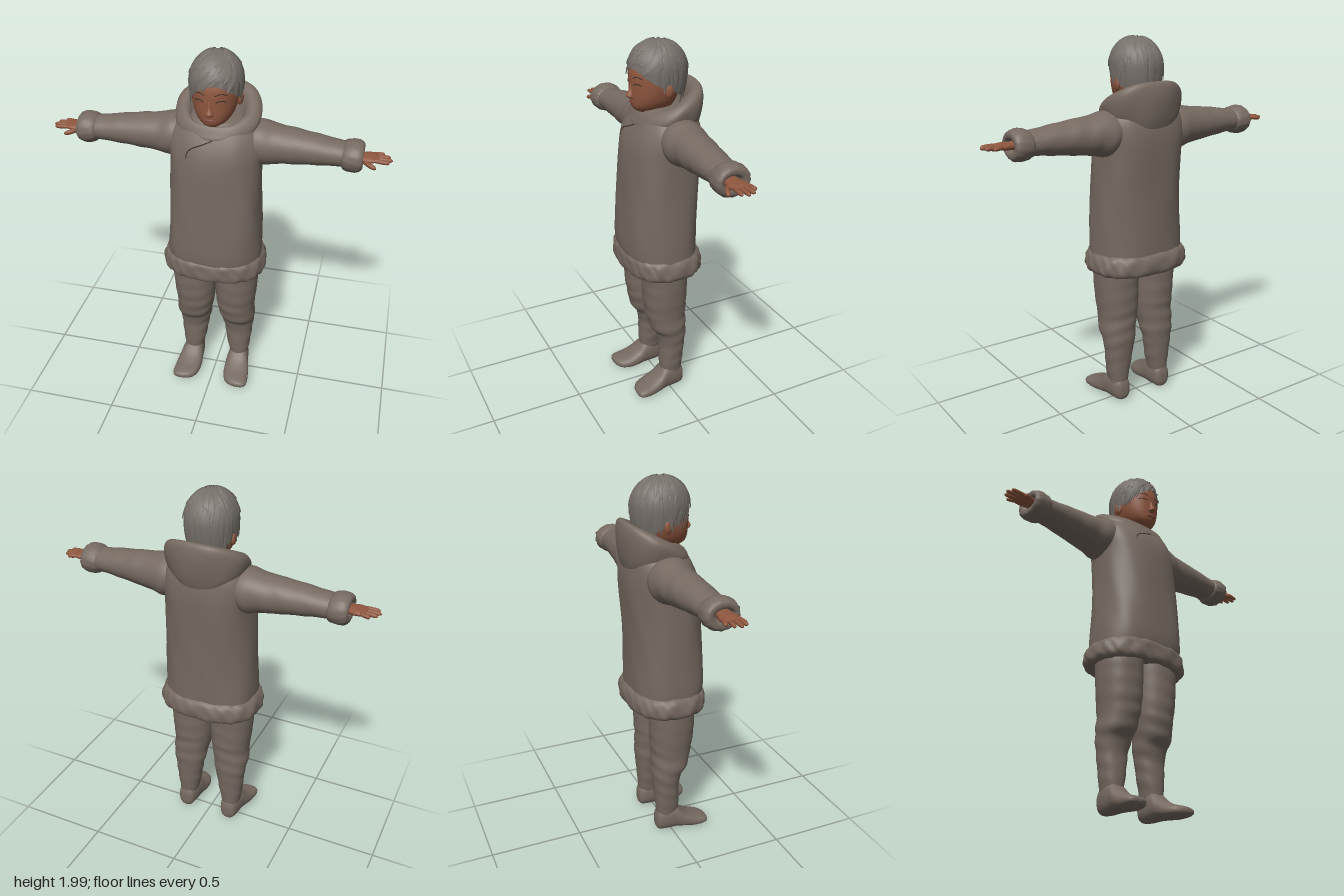
import * as THREE from 'three';
import { mergeGeometries } from 'three/addons/utils/BufferGeometryUtils.js';

const material = (name, color) => {
  const m = new THREE.MeshStandardMaterial({ color });
  m.name = name;
  return m;
};

// Catmull-Rom blend of two neighbouring section rows
const blend = (rows, i, f) => {
  const at = k => rows[Math.min(Math.max(k, 0), rows.length - 1)];
  return rows[i].map((_, c) => {
    const [p, q, r, s] = [at(i - 1)[c], at(i)[c], at(i + 1)[c], at(i + 2)[c]];
    return q + 0.5 * f * (r - p + f * (2 * p - 5 * q + 4 * r - s + f * (3 * (q - r) + s - p)));
  });
};

// Smooth closed skin through sections [t, a0, a1, b0, b1, slope].
// Axis y: a = x, b = z.  Axis x: a = z, b = y.  Axis z: a = y, b = x.
function loft(axis, rows, { sides = 40, steps = 5, power = 2, bump = () => 0 } = {}) {
  const pos = [], index = [];
  const put = (t, a, b) => pos.push(...(axis === 'y' ? [a, t, b] : axis === 'x' ? [t, b, a] : [b, a, t]));
  const bend = c => Math.sign(c) * Math.abs(c) ** (2 / power);
  const rings = (rows.length - 1) * steps + 1;
  for (let i = 0; i < rings; i++) {
    const k = Math.min(Math.floor(i / steps), rows.length - 2);
    const [t, a0, a1, b0, b1, slope = 0] = blend(rows, k, i / steps - k);
    for (let j = 0; j < sides; j++) {
      const w = j / sides * Math.PI * 2, s = 1 + bump(w, t);
      const db = (b1 - b0) / 2 * bend(Math.sin(w)) * s;
      put(t + slope * db, (a0 + a1) / 2 + (a1 - a0) / 2 * bend(Math.cos(w)) * s, (b0 + b1) / 2 + db);
    }
  }
  for (let i = 0; i < rings - 1; i++) for (let j = 0; j < sides; j++) {
    const n = (j + 1) % sides, p = i * sides, q = p + sides;
    index.push(p + j, q + j, q + n, p + j, q + n, p + n);
  }
  // End caps
  for (const [row, base, flip] of [[rows[0], 0, false], [rows[rows.length - 1], (rings - 1) * sides, true]]) {
    const c = pos.length / 3;
    put(row[0], (row[1] + row[2]) / 2, (row[3] + row[4]) / 2);
    for (let j = 0; j < sides; j++) {
      const n = (j + 1) % sides;
      index.push(c, base + (flip ? n : j), base + (flip ? j : n));
    }
  }
  return grid(pos, index);
}

function grid(pos, index) {
  const g = new THREE.BufferGeometry();
  g.setAttribute('position', new THREE.Float32BufferAttribute(pos, 3));
  g.setIndex(index);
  g.computeVertexNormals();
  return g;
}

function mirror(geometry) {
  const g = geometry.clone().scale(-1, 1, 1), ix = g.index.array;
  for (let i = 0; i < ix.length; i += 3) [ix[i], ix[i + 1]] = [ix[i + 1], ix[i]];
  g.computeVertexNormals();
  return g;
}

// Point on the hair volume: u = turn from the front towards +x, v = crown to hairline
function hairPoint(u, v, lift = 0) {
  const s = Math.cos(u), x = Math.sin(u);
  const line = s > 0 ? 1.765 + s * s * 0.095 + 0.025 * x * s : 1.765 + s * 0.075;
  const end = Math.acos((line - 1.84) / (line > 1.84 ? 0.148 : 0.26));
  const th = v * end, c = Math.cos(th), r = Math.sin(th) * (1 + lift);
  return new THREE.Vector3(x * r * 0.128, 1.84 + c * (c > 0 ? 0.148 : 0.26) * (1 + lift), s * r * 0.15);
}

export function createModel() {
  const model = new THREE.Group();
  const cloth = material('coat cloth', 0x766a61);
  const skin = material('skin', 0x8f573f);
  const hairMat = material('hair', 0x76706a);
  hairMat.side = THREE.DoubleSide;
  const dark = material('dark lines', 0x44352d);
  const lip = material('lips', 0x7f4638);
  const add = (name, g, m) => {
    const mesh = new THREE.Mesh(g, m);
    mesh.name = name;
    model.add(mesh);
    return mesh;
  };
  const pair = (name, g, m) => {
    add(name + 'Left', g, m);
    add(name + 'Right', mirror(g), m);
  };
  const fur = (w, t) => 0.012 * Math.sin(w * 13 + t * 40) + 0.01 * Math.sin(w * 23 - t * 70);

  // Coat body, fur hem and tilted hood
  const coat = add('coat', loft('y', [
    [0.80, -0.25, 0.25, -0.18, 0.19], [0.9, -0.254, 0.25, -0.182, 0.208], [1.05, -0.246, 0.246, -0.183, 0.205],
    [1.2, -0.24, 0.24, -0.188, 0.195], [1.4, -0.235, 0.235, -0.2, 0.183], [1.5, -0.24, 0.24, -0.2, 0.165],
    [1.58, -0.228, 0.228, -0.188, 0.13], [1.64, -0.175, 0.175, -0.165, 0.09], [1.66, -0.1, 0.1, -0.12, 0.05],
  ], { sides: 64, power: 2.5, bump: (w, t) => 0.008 * Math.sin(w * 5 + t * 9) + 0.005 * Math.sin(w * 9 - t * 14) }), cloth);
  add('furHem', loft('y', [
    [0.80, -0.2, 0.2, -0.14, 0.15], [0.77, -0.235, 0.23, -0.165, 0.175], [0.762, -0.262, 0.256, -0.19, 0.2],
    [0.785, -0.282, 0.275, -0.205, 0.213], [0.825, -0.282, 0.274, -0.206, 0.214], [0.86, -0.268, 0.262, -0.195, 0.21],
    [0.88, -0.24, 0.24, -0.17, 0.19],
  ], { sides: 80, power: 2.5, bump: fur }), cloth);
  const hood = add('hood', loft('y', [
    [1.52, -0.14, 0.14, -0.19, 0.1, 0], [1.575, -0.195, 0.195, -0.21, 0.125, -0.1], [1.635, -0.216, 0.218, -0.22, 0.13, -0.32],
    [1.68, -0.215, 0.217, -0.212, 0.122, -0.48], [1.705, -0.185, 0.187, -0.19, 0.105, -0.5],
    [1.695, -0.15, 0.15, -0.155, 0.09, -0.5], [1.65, -0.12, 0.12, -0.125, 0.075, -0.4], [1.6, -0.07, 0.07, -0.08, 0.05, -0.1],
  ], { sides: 56, power: 2.2, bump: (w, t) => 0.012 * Math.sin(w * 6 + t * 30) }), cloth);

  // Sleeves and fur cuffs
  pair('sleeve', loft('x', [
    [0.12, -0.13, 0.08, 1.44, 1.62], [0.22, -0.155, 0.085, 1.4, 1.632], [0.3, -0.14, 0.073, 1.413, 1.616],
    [0.4, -0.125, 0.068, 1.425, 1.604], [0.52, -0.108, 0.064, 1.438, 1.588], [0.62, -0.095, 0.06, 1.447, 1.573],
    [0.69, -0.085, 0.055, 1.455, 1.56],
  ], { bump: (w, t) => 0.018 * Math.sin(t * 55 + 2 * Math.sin(w)) * Math.sin(w + t * 6) }), cloth);
  pair('furCuff', loft('x', [
    [0.63, -0.085, 0.055, 1.455, 1.56], [0.645, -0.1, 0.07, 1.436, 1.575], [0.68, -0.105, 0.076, 1.427, 1.586],
    [0.715, -0.103, 0.075, 1.43, 1.582], [0.735, -0.088, 0.062, 1.447, 1.566], [0.73, -0.06, 0.045, 1.475, 1.54],
    [0.7, -0.045, 0.035, 1.485, 1.53],
  ], { bump: (w, t) => 1.6 * fur(w, t) }), cloth);

  // Hands: palm, four fingers and a thumb
  const limb = (points, r) => loft('x', points.map(([x, y, z], i) => {
    const k = r * [0.9, 1.05, 0.95, 0.35][i];
    return [x, z - k, z + k, y - k, y + k];
  }), { sides: 10, steps: 3 });
  const fingers = [[-0.046, 0.835, -0.056], [-0.022, 0.865, -0.03], [0.002, 0.876, 0.001], [0.026, 0.862, 0.03]];
  pair('hand', mergeGeometries([
    loft('x', [[0.69, -0.04, 0.03, 1.485, 1.528], [0.73, -0.046, 0.036, 1.487, 1.525], [0.765, -0.056, 0.042, 1.49, 1.525],
      [0.795, -0.055, 0.037, 1.496, 1.522], [0.81, -0.045, 0.028, 1.503, 1.517]], { sides: 20, power: 2.4 }),
    ...fingers.map(([z0, end, z1]) => limb([0, 0.4, 0.85, 1].map(f =>
      [0.785 + (end - 0.785) * f, 1.51 - 0.004 * f, z0 + (z1 - z0) * f]), 0.0105)),
    limb([[0.735, 1.5, 0.022], [0.762, 1.494, 0.044], [0.79, 1.488, 0.056], [0.802, 1.486, 0.059]], 0.0125),
  ]), skin);

  // Trousers with folds, soft boots
  pair('trouserLeg', loft('y', [
    [0.09, 0.09, 0.185, -0.075, 0.045], [0.2, 0.066, 0.2, -0.085, 0.05], [0.3, 0.05, 0.21, -0.093, 0.05],
    [0.37, 0.035, 0.218, -0.1, 0.066], [0.42, 0.028, 0.225, -0.1, 0.1], [0.5, 0.012, 0.222, -0.1, 0.12],
    [0.6, 0.003, 0.232, -0.105, 0.134], [0.75, 0, 0.24, -0.107, 0.14], [0.86, 0, 0.23, -0.11, 0.14],
  ], { power: 2.2, steps: 8, bump: (w, t) => (t < 0.55 ? 0.022 : 0.01) * Math.sin(t * 75 + 2 * Math.sin(w + 0.6)) * (0.6 + 0.4 * Math.sin(w * 2 + t * 8)) }), cloth);
  pair('boot', loft('z', [
    [-0.087, 0.035, 0.09, 0.115, 0.155], [-0.072, 0.008, 0.13, 0.092, 0.18], [-0.02, 0.002, 0.155, 0.08, 0.193],
    [0.03, 0.004, 0.148, 0.075, 0.2], [0.075, 0.004, 0.105, 0.071, 0.212], [0.13, 0.001, 0.076, 0.073, 0.22],
    [0.18, 0.006, 0.062, 0.09, 0.222], [0.205, 0.016, 0.052, 0.12, 0.212], [0.214, 0.028, 0.042, 0.15, 0.19],
  ], { sides: 28, power: 2.4 }), cloth);

  // Head, nose and ears
  const head = add('head', loft('y', [
    [1.54, -0.06, 0.06, -0.07, 0.03], [1.61, -0.056, 0.056, -0.07, 0.045], [1.638, -0.045, 0.045, -0.07, 0.108],
    [1.66, -0.072, 0.072, -0.08, 0.134], [1.7, -0.097, 0.097, -0.1, 0.143], [1.76, -0.113, 0.113, -0.12, 0.145],
    [1.84, -0.116, 0.116, -0.13, 0.143], [1.91, -0.095, 0.095, -0.105, 0.11], [1.95, -0.05, 0.05, -0.06, 0.06],
  ], { sides: 48, power: 2.15 }), skin);
  add('nose', loft('y', [
    [1.708, -0.008, 0.008, 0.13, 0.148], [1.715, -0.02, 0.02, 0.125, 0.163], [1.726, -0.019, 0.019, 0.125, 0.17],
    [1.75, -0.011, 0.011, 0.125, 0.157], [1.785, -0.008, 0.008, 0.125, 0.147],
  ], { sides: 16 }), skin);
  pair('ear', new THREE.SphereGeometry(1, 16, 12).scale(0.014, 0.036, 0.024).rotateY(-0.35).translate(0.117, 1.755, -0.005), skin);

  // Thin lines laid on a surface: lids, brows, mouth, coat seam
  const ray = new THREE.Raycaster();
  const line = (name, targets, points, r, m) => add(name, new THREE.TubeGeometry(
    new THREE.CatmullRomCurve3(points.map(([x, y]) => {
      ray.set(new THREE.Vector3(x, y, 1), new THREE.Vector3(0, 0, -1));
      const hit = ray.intersectObjects(targets)[0];
      return new THREE.Vector3(x, y, hit ? hit.point.z : 0.14);
    })), 20, r, 6), m);
  for (const [side, s] of [['Left', 1], ['Right', -1]]) {
    line('eyelid' + side, [head], [[s * 0.03, 1.782], [s * 0.042, 1.788], [s * 0.058, 1.789], [s * 0.075, 1.783]], 0.0032, dark);
    line('brow' + side, [head], [[s * 0.025, 1.815], [s * 0.05, 1.824], [s * 0.08, 1.815]], 0.0028, dark);
  }
  line('mouth', [head], [[-0.027, 1.683], [-0.01, 1.687], [0.01, 1.687], [0.027, 1.683]], 0.0055, lip);
  line('coatSeam', [coat, hood], [[0.01, 1.575], [-0.04, 1.552], [-0.09, 1.53], [-0.115, 1.505], [-0.12, 1.475]], 0.003, dark);

  // Hair volume
  const cap = new THREE.PlaneGeometry(1, 1, 96, 20);
  const p = cap.attributes.position, uv = cap.attributes.uv;
  for (let i = 0; i < p.count; i++) {
    const u = (uv.getX(i) - 0.5) * Math.PI * 2, v = 1 - uv.getY(i);
    const q = hairPoint(u, v, 0.015 * Math.sin(u * 19 + v * 5) * v);
    p.setXYZ(i, q.x, q.y, q.z);
  }
  cap.computeVertexNormals();
  add('hair', cap, hairMat);

  // Layered tapering locks, swept from the crown and across the brow
  let seed = 7;
  const rnd = () => (seed = seed * 16807 % 2147483647) / 2147483647;
  const locks = [], centre = new THREE.Vector3(0, 1.84, 0);
  for (let k = 0; k < 110; k++) {
    const u0 = k * 2.39996, v0 = 0.1 + 0.5 * rnd(), v1 = Math.min(1.06, v0 + 0.4 + 0.25 * rnd());
    const sweep = Math.cos(u0) > 0.3 ? -0.45 : 0.25 * (rnd() - 0.3);
    const width = 0.011 + 0.008 * rnd(), flare = 0.03 + 0.06 * rnd() ** 2;
    const pos = [], index = [], n = 8;
    const spot = f => hairPoint(u0 + sweep * f * f, v0 + (v1 - v0) * f, 0.005 + 0.02 * Math.sin(f * Math.PI) + flare * f ** 3);
    for (let i = 0; i <= n; i++) {
      const f = i / n, c = spot(f), out = c.clone().sub(centre).normalize();
      const side = spot(f + 0.03).sub(c).normalize().cross(out).normalize();
      const w = width * Math.sin(Math.PI * (0.12 + 0.88 * f)) ** 0.7;
      for (const e of [-1, 0, 1]) pos.push(...c.clone().addScaledVector(side, e * w).addScaledVector(out, e ? -0.004 : 0.005 * (1 - f)).toArray());
      if (i < n) for (const e of [0, 1]) {
        const a = i * 3 + e;
        index.push(a, a + 3, a + 4, a, a + 4, a + 1);
      }
    }
    locks.push(grid(pos, index));
  }
  add('hairLocks', mergeGeometries(locks), hairMat);
  return model;
}
